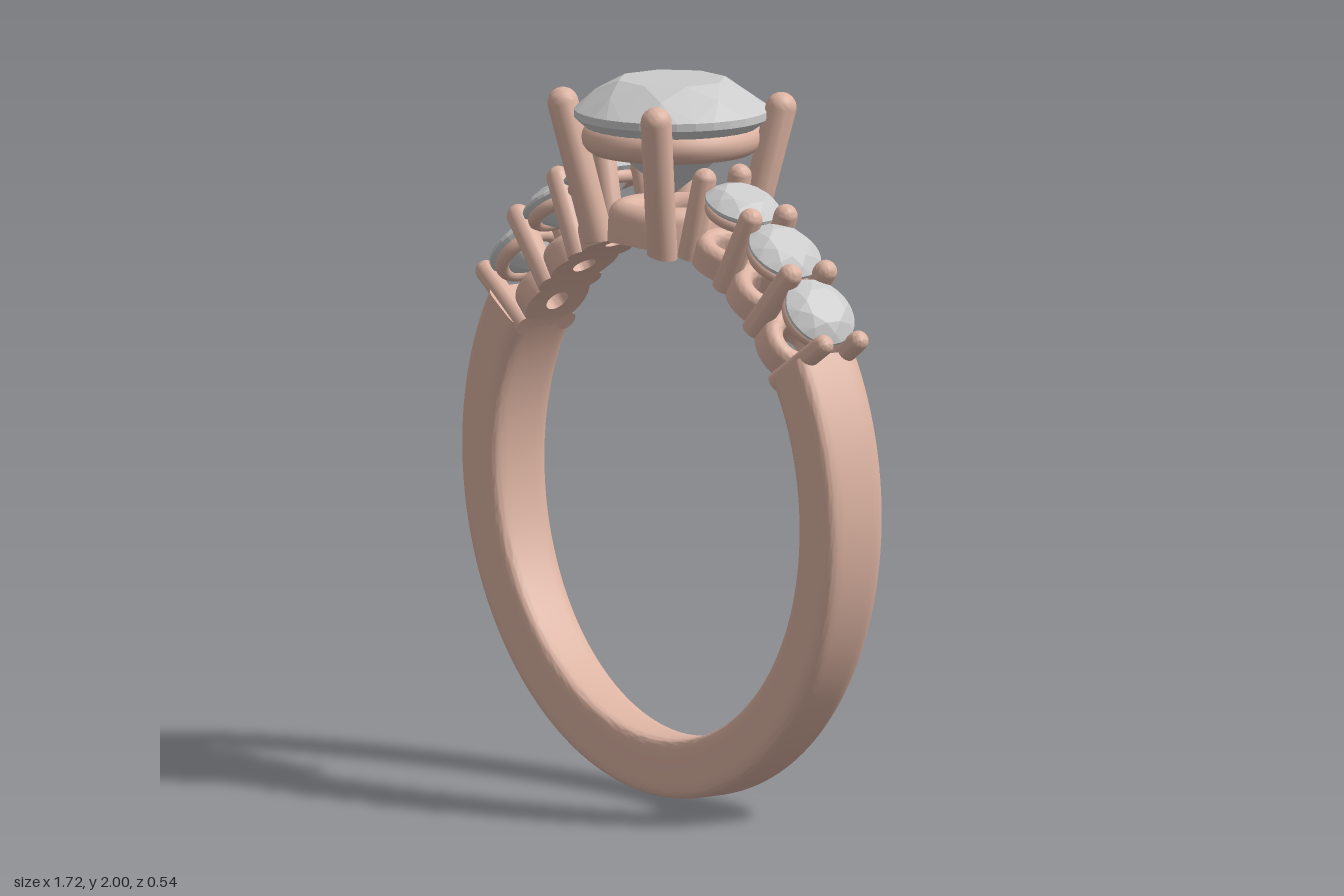
import * as THREE from 'three';
import { toCreasedNormals } from 'three/addons/utils/BufferGeometryUtils.js';
import { ConvexGeometry } from 'three/addons/geometries/ConvexGeometry.js';

const CENTER_Y = 0.86, INNER = 0.693, OUTER = 0.86;
const rad = THREE.MathUtils.degToRad;
const gold = new THREE.MeshStandardMaterial({ color: 0xdcb3a2 });
const stone = new THREE.MeshStandardMaterial({ color: 0xcccccc, flatShading: true });

function add(parent, name, geometry, material = gold) {
  const mesh = new THREE.Mesh(geometry, material);
  mesh.name = name;
  parent.add(mesh);
  return mesh;
}

// Trim a part to the finger hole: nothing may come closer to the ring's axis than INNER
function trim(geometry) {
  const p = geometry.attributes.position;
  for (let i = 0; i < p.count; i++) {
    const d = Math.hypot(p.getX(i), p.getY(i));
    if (d < INNER) p.setXY(i, p.getX(i) * INNER / d, p.getY(i) * INNER / d);
  }
  return toCreasedNormals(geometry, rad(40));
}

// Shank: rounded section swept round the bottom, tapering in width, with closed ends
function bandGeometry() {
  const N = 120, M = 48, start = rad(147), sweep = rad(246);
  const pos = [], index = [];
  const soft = v => Math.sign(v) * Math.abs(v) ** 0.35;
  for (let i = 0; i <= N; i++) {
    const a = start + sweep * i / N, mid = (INNER + OUTER) / 2, half = (OUTER - INNER) / 2;
    const hw = 0.07 + 0.034 * ((1 + Math.sin(a)) / 1.55) ** 0.6;
    for (let j = 0; j < M; j++) {
      const t = j / M * Math.PI * 2, r = mid + half * soft(Math.cos(t));
      pos.push(r * Math.cos(a), r * Math.sin(a), hw * soft(Math.sin(t)));
    }
  }
  for (let j = 0; j < M; j++) {
    const k = (j + 1) % M;
    for (let i = 0; i < N; i++) {
      const a = i * M + j, b = a + M, c = (i + 1) * M + k, d = i * M + k;
      index.push(a, b, d, b, c, d);
    }
    if (j > 0 && j < M - 1) index.push(0, j, k, N * M, N * M + k, N * M + j);
  }
  const g = new THREE.BufferGeometry();
  g.setAttribute('position', new THREE.Float32BufferAttribute(pos, 3));
  g.setIndex(index);
  return toCreasedNormals(g, rad(40));
}

// Round brilliant cut of unit radius, girdle at y = 0
function gemGeometry(size) {
  const pts = [new THREE.Vector3(0, -0.86, 0)];
  const ring = (n, r, y, turn) => {
    for (let i = 0; i < n; i++) {
      const a = (i + turn) / n * Math.PI * 2;
      pts.push(new THREE.Vector3(r * Math.sin(a), y, r * Math.cos(a)));
    }
  };
  ring(8, 0.56, 0.35, 0.5);   // table
  ring(8, 0.79, 0.225, 0);    // crown
  ring(32, 1, 0.04, 0);       // girdle
  ring(32, 1, -0.04, 0);
  ring(8, 0.3, -0.63, 0.5);   // pavilion
  return new ConvexGeometry(pts.map(p => p.multiplyScalar(size)));
}

// Round-tipped prong between two points
function prongGeometry(base, tip, r) {
  const dir = tip.clone().sub(base), L = dir.length();
  const profile = [new THREE.Vector2(0, 0), new THREE.Vector2(r, 0)];
  for (let i = 0; i <= 8; i++) {
    const a = i / 8 * Math.PI / 2;
    profile.push(new THREE.Vector2(i === 8 ? 0 : r * Math.cos(a), L - r + r * Math.sin(a)));
  }
  const g = new THREE.LatheGeometry(profile, 24);
  g.applyQuaternion(new THREE.Quaternion().setFromUnitVectors(new THREE.Vector3(0, 1, 0), dir.normalize()));
  g.translate(base.x, base.y, base.z);
  return trim(g);
}

// Collar at the foot of a setting: rounded top, flared hole, underside cut to the finger hole
function collarGeometry(r, hole, bottom, top) {
  const t = (r - hole) * 0.42, profile = [];
  for (let i = 0; i <= 4; i++) profile.push(new THREE.Vector2(hole + (r - hole) * i / 4, bottom));
  for (let i = 0; i <= 12; i++) {
    const a = i / 12 * Math.PI;
    profile.push(new THREE.Vector2(r - t + t * Math.cos(a), top - t + t * Math.sin(a)));
  }
  profile.push(new THREE.Vector2(hole, bottom));
  return trim(new THREE.LatheGeometry(profile, 48));
}

function gallery(parent, name, r, tube, y) {
  const m = add(parent, name, new THREE.TorusGeometry(r, tube, 16, 56));
  m.rotation.x = Math.PI / 2;
  m.position.y = y;
}

export function createModel() {
  const model = new THREE.Group();
  model.name = 'ring';
  const body = new THREE.Group();
  body.name = 'ringBody';
  body.position.y = CENTER_Y;
  model.add(body);

  add(body, 'band', bandGeometry());

  // Centre setting: stone, support ring, foot collar and four splayed prongs
  const centre = new THREE.Group();
  centre.name = 'centreSetting';
  body.add(centre);
  add(centre, 'centreStone', gemGeometry(0.27), stone).position.y = 1.905 - CENTER_Y;
  gallery(centre, 'centreSupportRing', 0.205, 0.045, 1.837 - CENTER_Y);
  add(centre, 'centreCollar', collarGeometry(0.175, 0.075, 0.65, 0.8));
  for (const x of [-1, 1]) for (const z of [-1, 1]) {
    add(centre, 'centreProng', prongGeometry(
      new THREE.Vector3(x * 0.142, 0.66, z * 0.142),
      new THREE.Vector3(x * 0.222, 1.107, z * 0.222), 0.043));
  }

  // Shoulders: three small stones a side, with prong pairs between them
  for (const side of [-1, 1]) {
    const shoulder = new THREE.Group();
    shoulder.name = side > 0 ? 'leftShoulder' : 'rightShoulder';
    body.add(shoulder);
    const spot = (name, angle) => {
      const g = new THREE.Group();
      g.name = name;
      g.rotation.z = -side * rad(90 - angle);
      shoulder.add(g);
      return g;
    };
    for (const angle of [40.3, 54.4, 68.6]) {
      const s = spot('sideSetting', angle);
      add(s, 'sideStone', gemGeometry(0.106), stone).position.y = 0.892;
      gallery(s, 'sideSupportRing', 0.082, 0.019, 0.864);
      add(s, 'sideCollar', collarGeometry(0.098, 0.033, 0.66, 0.775));
    }
    [33, 47.3, 61.3, 75.5].forEach((angle, i) => {
      const s = spot('sideProngs', angle), r = i === 0 ? 0.029 : 0.033;
      for (const z of [-1, 1]) {
        add(s, 'sideProng', prongGeometry(
          new THREE.Vector3(0, 0.67, z * 0.07), new THREE.Vector3(0, 0.955, z * 0.059), r));
      }
    });
  }
  return model;
}
